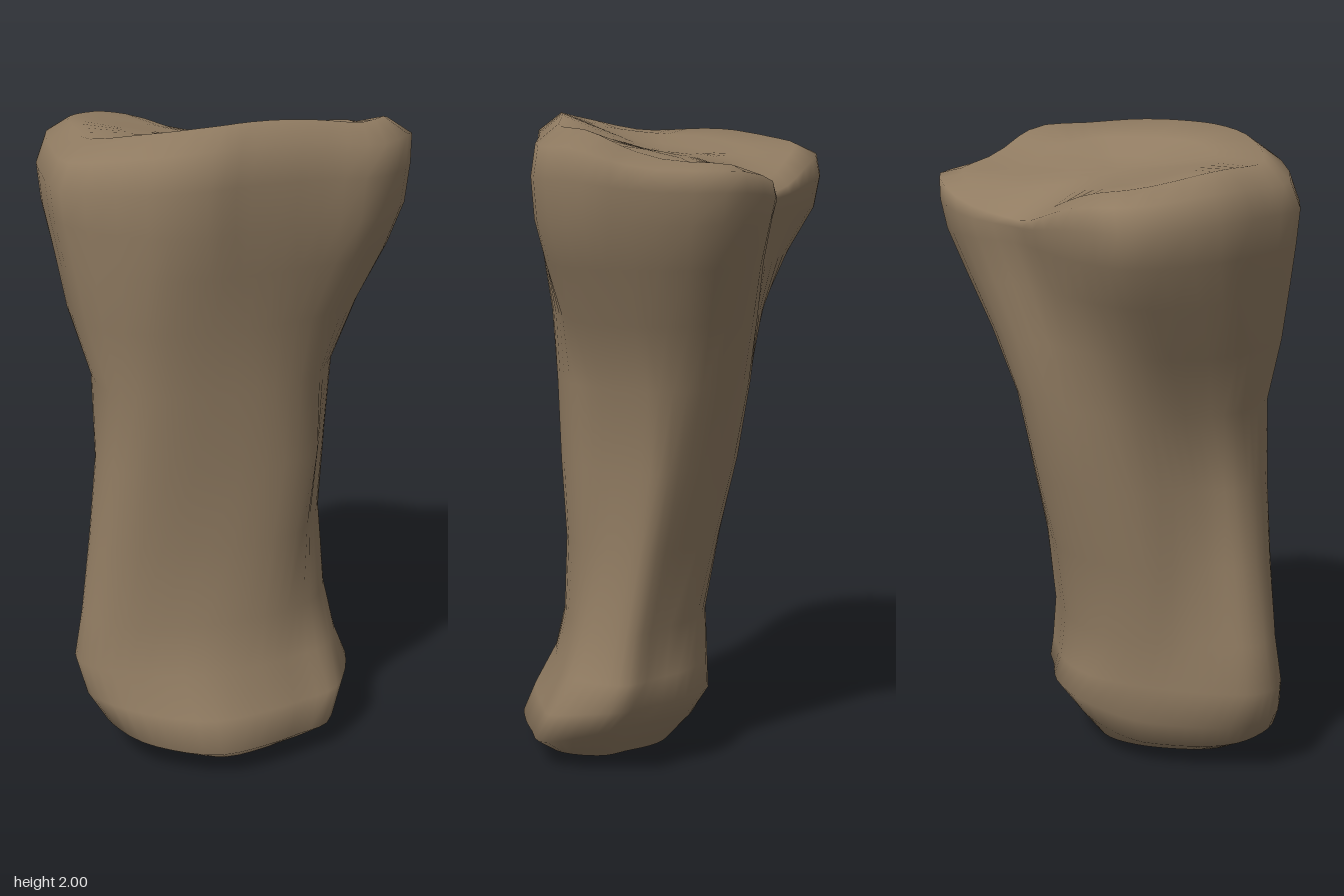
import * as THREE from 'three';

// Cross-section outlines (x, z), from the left side round by the front
const FOOT = [.36, .06, .36, .18, .30, .31, .19, .36, .07, .41, -.11, .45, -.28, .39, -.41, .31,
  -.47, .2, -.45, .1, -.38, .02, -.25, -.07, -.1, -.14, .05, -.17, .18, -.12, .28, -.02];
const SHAFT = [.33, -.07, .315, .02, .275, .12, .24, .21, .13, .28, -.08, .3, -.29, .29, -.39, .23,
  -.425, .12, -.405, .04, -.335, -.01, -.275, -.09, -.2, -.2, -.06, -.26, .12, -.25, .26, -.15];
const HEAD = [.55, 0, .54, .13, .41, .3, .22, .34, 0, .39, -.13, .42, -.3, .39, -.52, .2,
  -.55, 0, -.54, -.2, -.42, -.44, -.3, -.47, -.08, -.43, .12, -.37, .31, -.4, .5, -.28];

// Levels: y, min x, max x, min z, max z, outline (0 foot, 1 shaft, 2 head),
// share of the top relief, share of the sole relief
const LEVELS = [
  [.006, -.17, .13, .06, .27, 0, 0, 0],
  [.03, -.3, .23, -.03, .385, 0, 0, .2],
  [.08, -.42, .32, -.11, .455, 0, 0, 1],
  [.175, -.475, .37, -.165, .415, 0, 0, .6],
  [.3, -.505, .34, -.155, .35, .15, 0, 0],
  [.45, -.48, .31, -.145, .31, .5, 0, 0],
  [.7, -.45, .30, -.19, .29, .9, 0, 0],
  [.95, -.425, .325, -.25, .3, 1, 0, 0],
  [1.2, -.425, .34, -.295, .32, 1.2, 0, 0],
  [1.4, -.485, .41, -.325, .345, 1.5, 0, 0],
  [1.57, -.515, .485, -.375, .38, 1.8, 0, 0],
  [1.7, -.54, .53, -.447, .4, 2, 0, 0],
  [1.8, -.55, .545, -.465, .41, 2, .4, 0],
  [1.87, -.52, .55, -.455, .39, 2, .8, 0],
  [1.905, -.45, .48, -.39, .315, 2, 1, 0],
  [1.895, -.3, .31, -.26, .2, 2, .7, 0],
  [1.88, -.14, .15, -.13, .08, 2, .5, 0],
];
const SIDES = 48;
const { smoothstep, mapLinear } = THREE.MathUtils;

// Smooth closed outline
function outline(flat) {
  const pts = [];
  for (let i = 0; i < flat.length; i += 2) pts.push(new THREE.Vector3(flat[i], 0, flat[i + 1]));
  const curve = new THREE.CatmullRomCurve3(pts, true);
  return Array.from({ length: SIDES }, (_, i) => curve.getPoint(i / SIDES));
}

// Blend of two outlines, fitted to the given extents
function section(a, b, t, x0, x1, z0, z1) {
  const ring = a.map((p, i) => p.clone().lerp(b[i], t));
  const { min, max } = new THREE.Box3().setFromPoints(ring);
  return ring.map(p => [mapLinear(p.x, min.x, max.x, x0, x1), mapLinear(p.z, min.z, max.z, z0, z1)]);
}

const bump = (x, z, cx, cz, r) => Math.exp(-((x - cx) ** 2 + (z - cz) ** 2) / (r * r));

// Upper joint surface: front lip, back notch, right lobe, left corner and dip behind it
function topRelief(x, z) {
  const lip = smoothstep(z, -.28, .28) * (1 - Math.min(1, Math.abs((x - .02) / .54) ** 2.1));
  return .095 * lip - .13 * bump(x, z, .11, -.42, .25) + .03 * bump(x, z, -.45, -.13, .2)
    + .045 * bump(x, z, .52, .15, .13) - .03 * bump(x, z, .42, -.12, .18);
}

// Lower joint surface: rises to the back left and at the front right corner
function soleRelief(x, z) {
  return .08 * smoothstep(x - z, -.1, .35) + .035 * bump(x, z, -.43, .26, .15);
}

function boneGeometry() {
  const outlines = [FOOT, SHAFT, HEAD].map(outline);
  const pos = [], index = [];
  for (const [y, x0, x1, z0, z1, w, top, sole] of LEVELS) {
    const k = Math.min(1, Math.floor(w));
    for (const [x, z] of section(outlines[k], outlines[k + 1], w - k, x0, x1, z0, z1)) {
      pos.push(x, y + top * topRelief(x, z) + sole * soleRelief(x, z), z);
    }
  }
  // Centres of the lower and upper joint surfaces
  const rows = LEVELS.length, low = rows * SIDES, high = low + 1;
  pos.push(-.02, 0, .16, 0, 1.885, -.02);
  const last = (rows - 1) * SIDES;
  for (let j = 0; j < SIDES; j++) {
    const n = (j + 1) % SIDES;
    for (let i = 0; i < rows - 1; i++) {
      const a = i * SIDES + j, b = i * SIDES + n, c = a + SIDES, d = b + SIDES;
      index.push(a, c, b, b, c, d);
    }
    index.push(low, j, n, high, last + n, last + j);
  }
  const geo = new THREE.BufferGeometry();
  geo.setAttribute('position', new THREE.Float32BufferAttribute(pos, 3));
  geo.setIndex(index);
  geo.computeVertexNormals();
  return geo;
}

export function createModel() {
  const group = new THREE.Group();
  group.name = 'bone';
  const material = new THREE.MeshStandardMaterial({ color: 0x917c62 });
  material.name = 'brown bone';
  const bone = new THREE.Mesh(boneGeometry(), material);
  bone.name = 'boneBody';
  group.add(bone);
  return group;
}
